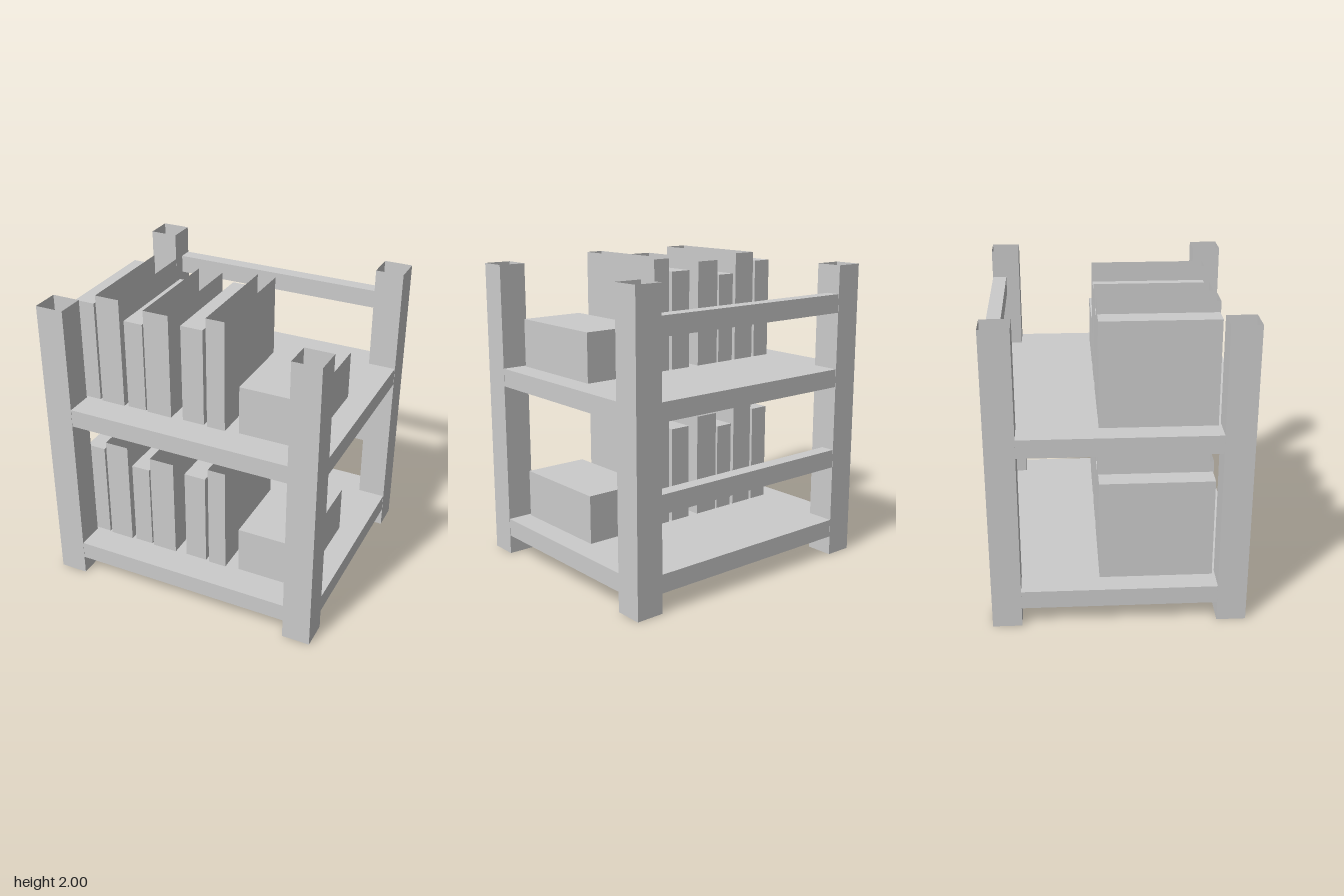
import * as THREE from 'three';

const solid = new THREE.MeshStandardMaterial({ color: 0xcccccc, flatShading: true });
const hollow = new THREE.MeshStandardMaterial({ color: 0xcccccc, flatShading: true, side: THREE.DoubleSide });

// Box between two limits on each axis; an open box has no top face
function addBox(parent, name, [x0, x1], [y0, y1], [z0, z1], open = false) {
  const geometry = new THREE.BoxGeometry(x1 - x0, y1 - y0, z1 - z0);
  if (open) {
    const index = Array.from(geometry.index.array);
    index.splice(12, 6); // the +y face
    geometry.setIndex(index);
    geometry.clearGroups();
  }
  const mesh = new THREE.Mesh(geometry, open ? hollow : solid);
  mesh.name = name;
  mesh.position.set((x0 + x1) / 2, (y0 + y1) / 2, (z0 + z1) / 2);
  parent.add(mesh);
}

// Books on one shelf: left edge, right edge, height, open top
const books = [
  [-0.77, -0.64, 0.66, false],
  [-0.62, -0.46, 0.72, true],
  [-0.435, -0.31, 0.587, false],
  [-0.295, -0.127, 0.685, true],
  [-0.05, 0.095, 0.635, false],
  [0.12, 0.24, 0.72, true],
];

export function createModel() {
  const model = new THREE.Group();
  model.name = 'bookshelf';

  // Four hollow corner posts
  for (const [side, x] of [['right', [-0.915, -0.732]], ['left', [0.732, 0.915]]]) {
    addBox(model, side + 'FrontPost', x, [0, 1.953], [0.61, 0.793], true);
    addBox(model, side + 'BackPost', x, [0, 1.953], [-0.793, -0.61], true);
  }

  // Two identical tiers: shelf, back rail, books and a storage box
  for (const [name, y] of [['lowerTier', 0.245], ['upperTier', 1.28]]) {
    const tier = new THREE.Group();
    tier.name = name;
    tier.position.y = y;
    addBox(tier, 'shelf', [-0.913, 0.913], [-0.118, 0], [-0.791, 0.791]);
    addBox(tier, 'backRail', [-0.74, 0.74], [0.37, 0.49], [-0.791, -0.7]);
    for (const [x0, x1, height, open] of books) {
      addBox(tier, 'book', [x0, x1], [0, height], [-0.12, open ? 0.6 : 0.592], open);
    }
    addBox(tier, 'storageBox', [0.328, 0.762], [0, 0.315], [-0.12, 0.585]);
    model.add(tier);
  }
  return model;
}
